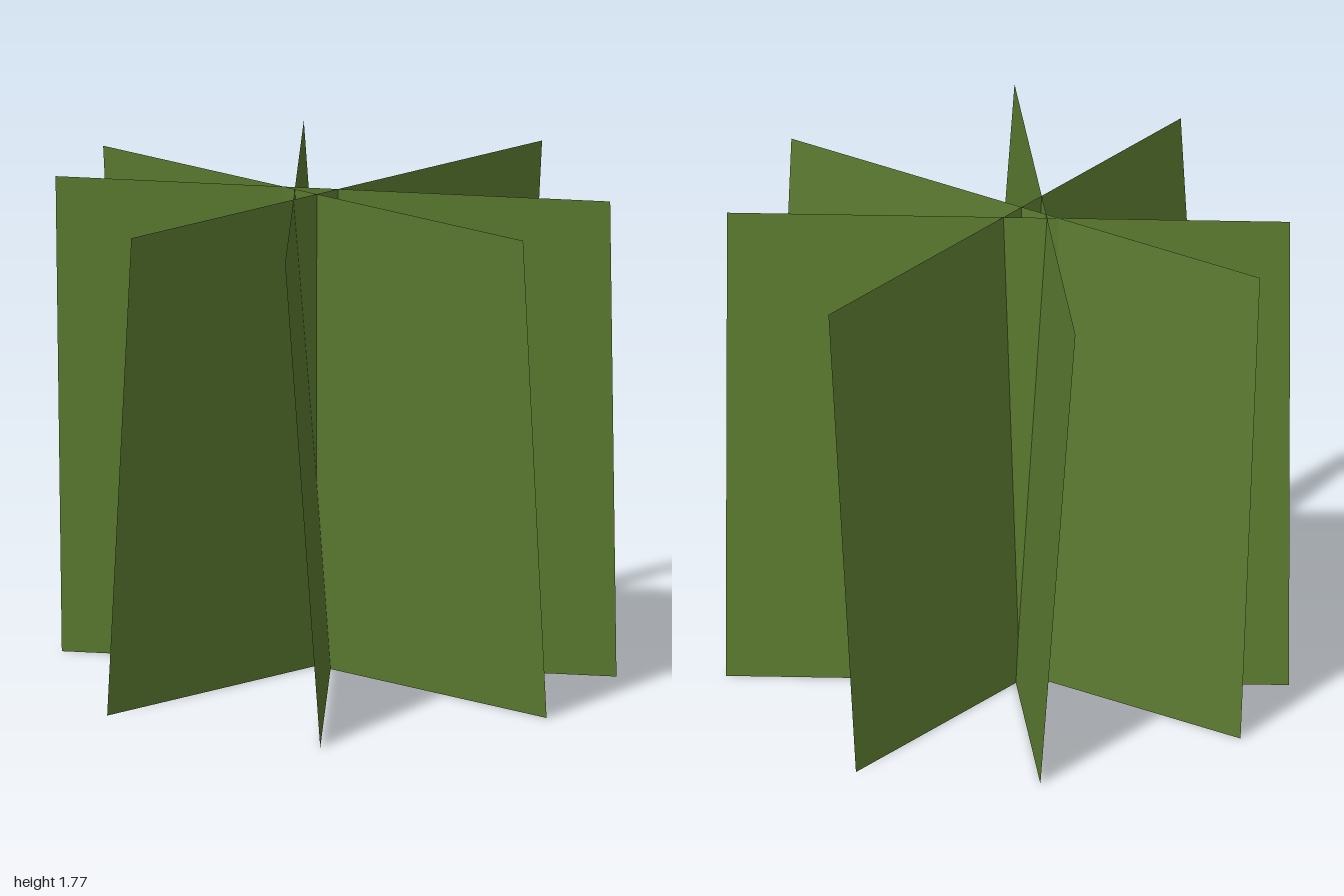
import * as THREE from 'three';

const HEIGHT = 1.775;
const LEAN = 0.125; // sideways shift of the top edge against the bottom edge

// Mid-height line of each card: start x, z and end x, z
const CARDS = [
  [-0.148, -0.995, 0.062, 0.993],
  [0.98, -0.162, -0.98, 0.223],
  [0.773, 0.715, -0.78, -0.545],
  [0.698, -0.725, -0.773, 0.63],
];

// One flat upright card, leaning square to its own length
function cardGeometry([ax, az, bx, bz]) {
  const length = Math.hypot(bx - ax, bz - az);
  const lx = ((bz - az) / length) * LEAN / 2;
  const lz = (-(bx - ax) / length) * LEAN / 2;
  const geometry = new THREE.PlaneGeometry(1, 1);
  const p = geometry.attributes.position;
  for (let i = 0; i < p.count; i++) {
    const t = p.getX(i) + 0.5;
    const v = p.getY(i) + 0.5;
    const s = v * 2 - 1;
    p.setXYZ(i, ax + (bx - ax) * t + lx * s, HEIGHT * v, az + (bz - az) * t + lz * s);
  }
  geometry.computeVertexNormals();
  return geometry;
}

export function createModel() {
  const group = new THREE.Group();
  group.name = 'grassTuft';
  const green = new THREE.MeshStandardMaterial({ color: 0x5b7a30, side: THREE.DoubleSide });
  green.name = 'leaf green';

  // Four crossing foliage cards
  CARDS.forEach((card, i) => {
    const mesh = new THREE.Mesh(cardGeometry(card), green);
    mesh.name = `foliageCard${i + 1}`;
    group.add(mesh);
  });
  return group;
}
